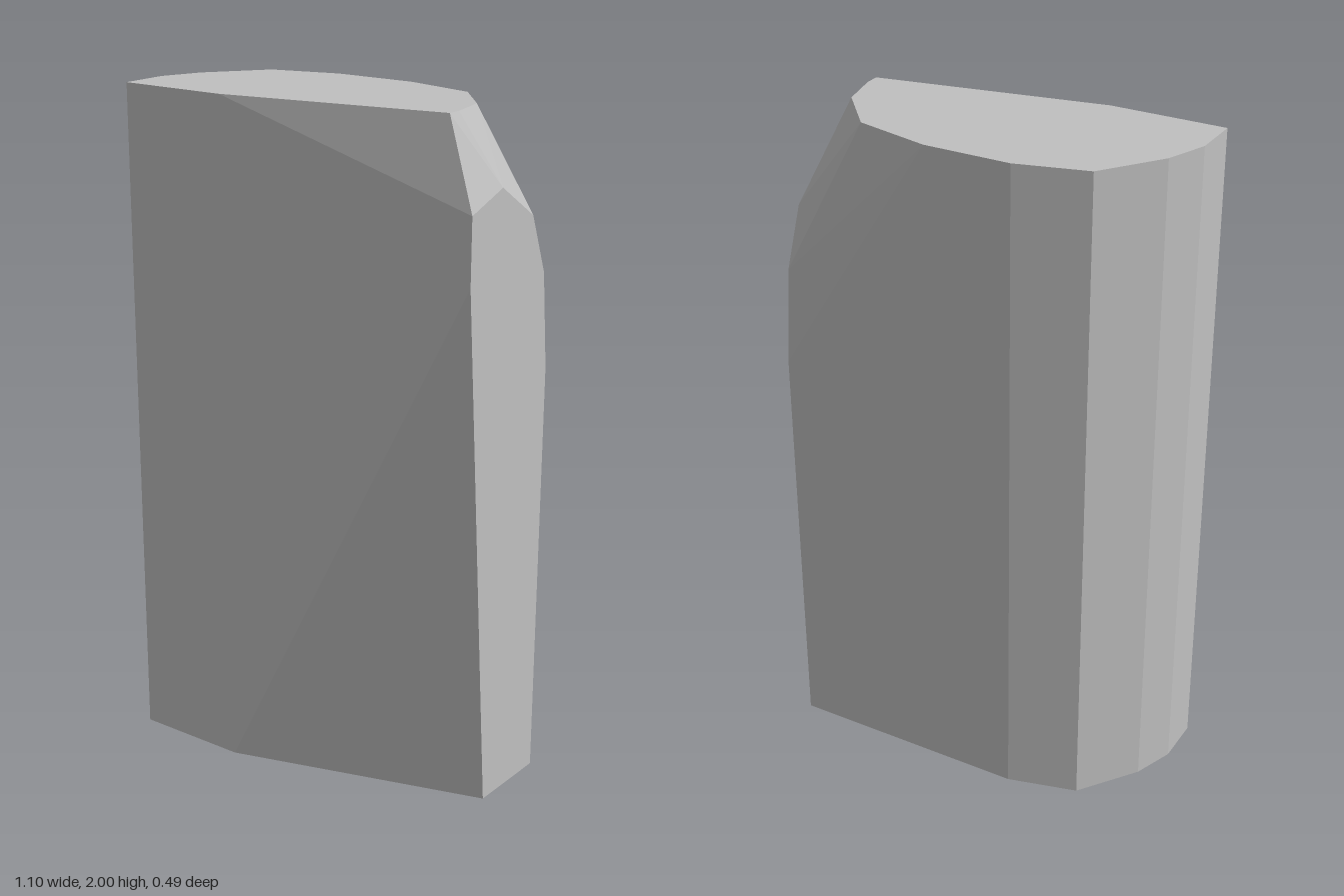
import * as THREE from 'three';
import { ConvexGeometry } from 'three/addons/geometries/ConvexGeometry.js';

export function createModel() {
  const group = new THREE.Group();
  group.name = 'facetedBlock';
  const grey = new THREE.MeshStandardMaterial({ color: 0xc0c0c0 });
  grey.name = 'grey';

  // straight left part of the outline, [x, z], shared by bottom and top
  const leftOutline = [[-0.55, 0.245], [-0.55, 0.1], [-0.505, -0.02], [-0.38, -0.19], [-0.175, -0.245]];
  // rest of the bottom outline, with the tapered front corner
  const bottomRight = [[0.55, -0.245], [0.55, 0.015], [-0.2, 0.245]];
  // rest of the top outline, rounded towards the chamfer
  const topRight = [[0.08, -0.245], [0.305, -0.19], [0.43, -0.045], [0.458, 0.08], [0.458, 0.123], [-0.21, 0.245]];
  // upper outline of the flat right side, [y, z]
  const rightSide = [[1.56, 0.148], [1.75, 0.148], [1.8, 0.005], [1.7, -0.15], [1.53, -0.217], [1.25, -0.245]];

  const points = [];
  const addRing = (ring, y) => ring.forEach(([x, z]) => points.push(new THREE.Vector3(x, y, z)));
  addRing([...leftOutline, ...bottomRight], 0);
  addRing([...leftOutline, ...topRight], 2);
  rightSide.forEach(([y, z]) => points.push(new THREE.Vector3(0.55, y, z)));

  // convex solid with flat facets
  const block = new THREE.Mesh(new ConvexGeometry(points), grey);
  block.name = 'block';
  group.add(block);
  return group;
}
